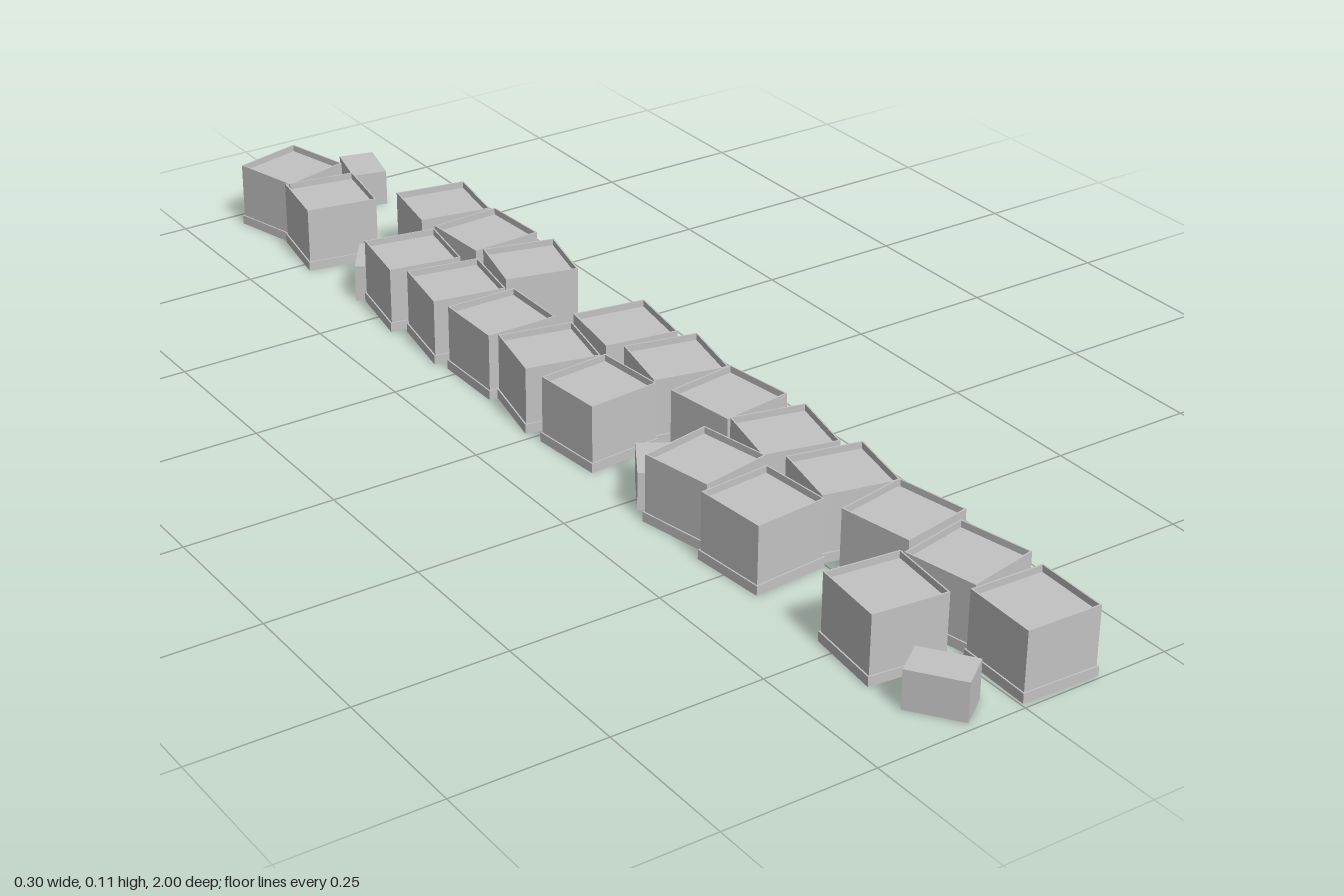
import * as THREE from 'three';

export function createModel() {
  const stone = new THREE.MeshStandardMaterial({ color: 0xc2c2c2 });
  stone.name = 'grey stone';
  const root = new THREE.Group();
  root.name = 'stoneRows';

  const square = (Type, size) => {
    const h = size / 2;
    return new Type([
      new THREE.Vector2(-h, -h), new THREE.Vector2(h, -h),
      new THREE.Vector2(h, h), new THREE.Vector2(-h, h),
    ]);
  };

  // Block: wider foot, thin outer wall and a slightly sunken top
  const footH = 0.016, top = 0.113, sunk = 0.102, body = 0.125, inner = 0.12;
  const footGeo = new THREE.BoxGeometry(0.13, footH, 0.13).translate(0, footH / 2, 0);
  const outline = square(THREE.Shape, body);
  outline.holes.push(square(THREE.Path, inner));
  const wallGeo = new THREE.ExtrudeGeometry(outline, { depth: top - footH, bevelEnabled: false })
    .rotateX(-Math.PI / 2).translate(0, footH, 0);
  const coreGeo = new THREE.BoxGeometry(inner, sunk - footH, inner)
    .translate(0, (sunk + footH) / 2, 0);

  // Small loose stone
  const looseGeo = new THREE.BoxGeometry(0.062, 0.064, 0.093).translate(0, 0.032, 0);

  const add = (parent, geo, name) => {
    const mesh = new THREE.Mesh(geo, stone);
    mesh.name = name;
    parent.add(mesh);
    return mesh;
  };

  // Turn of each block in degrees, from back to front; null leaves a gap
  const rows = {
    right: { x: -0.073, turns: [15, -10, null, -10, -10, 0, -12, 5, null, 11, 5, null, -6, null] },
    left: { x: 0.071, turns: [null, null, -10, 3, -14, null, -9, -12, 8, -13, -12, 11, 12, -2] },
  };
  for (const [side, { x, turns }] of Object.entries(rows)) {
    turns.forEach((deg, i) => {
      if (deg === null) return;
      const block = new THREE.Group();
      block.name = `${side}Block${i + 1}`;
      add(block, footGeo, 'foot');
      add(block, wallGeo, 'wall');
      add(block, coreGeo, 'sunkenTop');
      block.position.set(x, 0, -0.918 + 0.142 * i);
      block.rotation.y = THREE.MathUtils.degToRad(deg);
      root.add(block);
    });
  }

  // Loose stones lying in some of the gaps: x, z, turn
  const loose = [
    [0.087, -0.949, -14], [-0.087, -0.597, -34], [-0.087, 0.255, -32], [-0.089, 0.93, 36],
  ];
  loose.forEach(([x, z, deg], i) => {
    const mesh = add(root, looseGeo, `looseStone${i + 1}`);
    mesh.position.set(x, 0, z);
    mesh.rotation.y = THREE.MathUtils.degToRad(deg);
  });

  return root;
}
